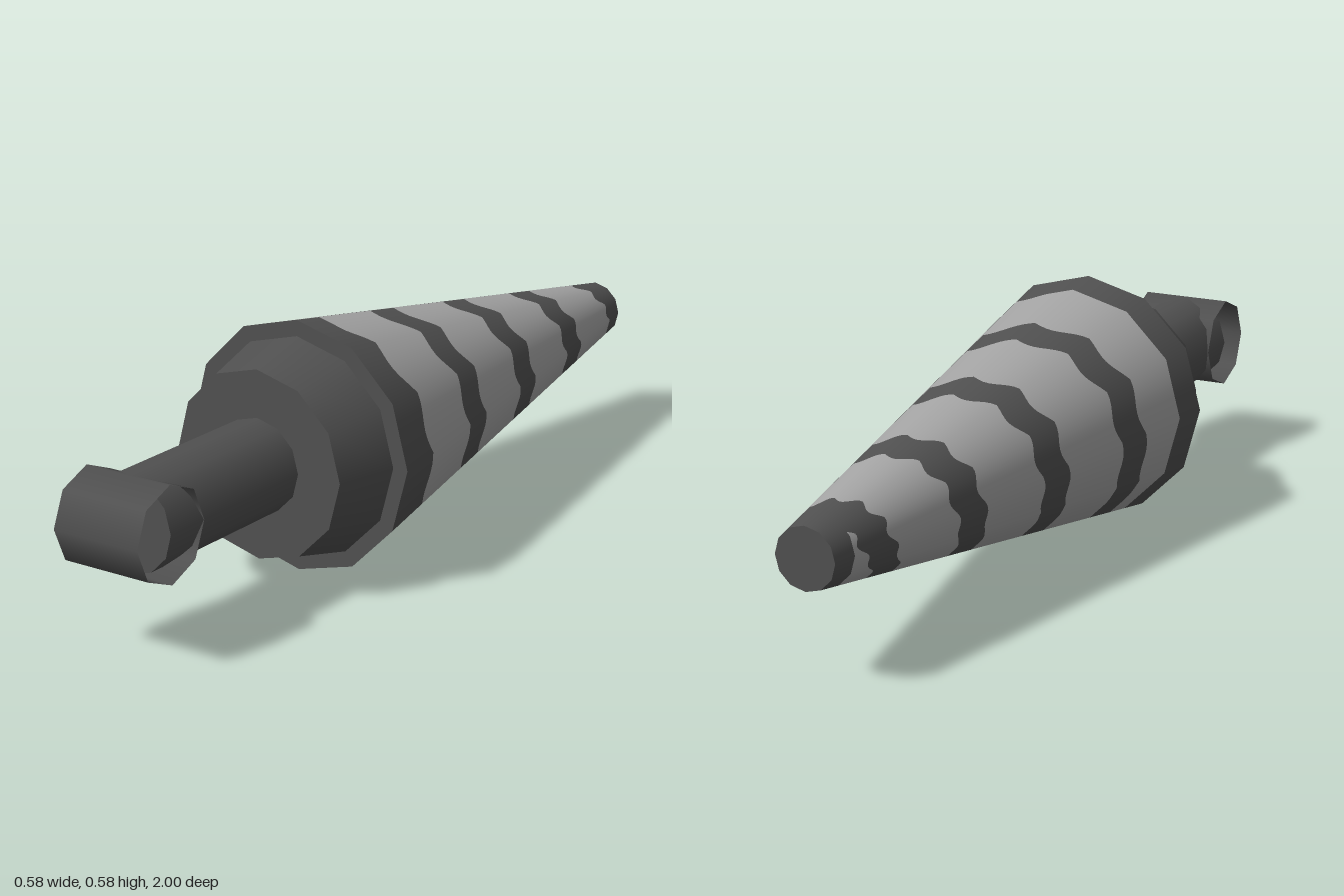
import * as THREE from 'three';

const CY = 0.292;               // height of the long axis
const Z0 = 0.305, Z1 = -1;      // wide and narrow ends of the cone
const R0 = 0.292, R1 = 0.07;
const SIDES = 12, SUB = 8;
const PITCH = 0.3, HALF_WIDTH = 0.047;

const dark = new THREE.MeshStandardMaterial({ color: 0x505050 });
dark.name = 'dark grey';
const light = new THREE.MeshStandardMaterial({ color: 0xa4a4a4 });
light.name = 'light grey';
const darkOpen = new THREE.MeshStandardMaterial({ color: 0x505050, side: THREE.DoubleSide });
darkOpen.name = 'dark grey open';

// Distance the spiral has travelled after the fraction t of a turn
function spiralOffset(t) {
  const steps = [0, 0.06, 0.12, 0.185, PITCH];
  const i = Math.min(3, Math.floor(t * 4));
  const drop = THREE.MathUtils.lerp(steps[i], steps[i + 1], t * 4 - i);
  return drop + 0.009 * Math.sin(t * Math.PI * 20);
}

// Limits along z of the alternating dark and light strips at t
function stripEdges(t) {
  const edges = [Z0, 0.22];
  for (let k = -1; k <= 3; k++) {
    const c = 0.035 - PITCH * k - spiralOffset(t);
    edges.push(c + HALF_WIDTH, c - HALF_WIDTH);
  }
  edges.push(-0.94, Z1);
  return edges.map((z, i) =>
    i === 0 || i === edges.length - 1 ? z : THREE.MathUtils.clamp(z, -0.94, 0.22));
}

// Point and smooth normal on the twelve-sided cone
function conePoint(t, z) {
  const a = Math.PI - t * Math.PI * 2;
  const step = (Math.PI * 2) / SIDES;
  const local = (t * SIDES - Math.floor(t * SIDES + 1e-9)) * step;
  const facet = Math.cos(step / 2) / Math.cos(local - step / 2);
  const r = THREE.MathUtils.mapLinear(z, Z0, Z1, R0, R1) * facet;
  return {
    p: [r * Math.cos(a), CY + r * Math.sin(a), z],
    n: new THREE.Vector3(Math.cos(a), Math.sin(a), -(R0 - R1) / (Z0 - Z1)).normalize().toArray(),
  };
}

// All strips of one colour: parity 0 is dark, 1 is light
function coneStrips(parity) {
  const pos = [], nor = [], columns = SIDES * SUB;
  for (let c = 0; c < columns; c++) {
    const t0 = c / columns, t1 = (c + 1) / columns;
    const e0 = stripEdges(t0), e1 = stripEdges(t1);
    for (let i = parity; i < e0.length - 1; i += 2) {
      if (e0[i] - e0[i + 1] < 1e-6 && e1[i] - e1[i + 1] < 1e-6) continue;
      const A = conePoint(t0, e0[i]), B = conePoint(t1, e1[i]);
      const C = conePoint(t0, e0[i + 1]), D = conePoint(t1, e1[i + 1]);
      for (const v of [A, B, C, B, D, C]) {
        pos.push(...v.p);
        nor.push(...v.n);
      }
    }
  }
  const g = new THREE.BufferGeometry();
  g.setAttribute('position', new THREE.Float32BufferAttribute(pos, 3));
  g.setAttribute('normal', new THREE.Float32BufferAttribute(nor, 3));
  return g;
}

export function createModel() {
  const group = new THREE.Group();
  const add = (name, geometry, material) => {
    const mesh = new THREE.Mesh(geometry, material);
    mesh.name = name;
    group.add(mesh);
  };
  // Cylinder lying along z, with its first radius at the front
  const lying = (rFront, rBack, zFront, zBack) =>
    new THREE.CylinderGeometry(rFront, rBack, zFront - zBack, SIDES)
      .rotateX(Math.PI / 2)
      .translate(0, CY, (zFront + zBack) / 2);

  // Tapered body with its spiral stripes
  add('spiralStripes', coneStrips(0), dark);
  add('coneBody', coneStrips(1), light);
  add('coneShoulder', new THREE.CircleGeometry(R0, SIDES).translate(0, CY, Z0), dark);
  add('coneTip', new THREE.CircleGeometry(R1, SIDES).rotateY(Math.PI).translate(0, CY, Z1), dark);

  // Collar, shank and the open cross tube at the end
  add('collar', lying(0.218, 0.255, 0.453, Z0), dark);
  add('shank', lying(0.108, 0.108, 0.891, 0.44), dark);
  add('crossTube',
    new THREE.CylinderGeometry(0.109, 0.109, 0.218, 8, 1, true)
      .rotateZ(Math.PI / 2)
      .translate(0, CY, 0.891),
    darkOpen);
  return group;
}
